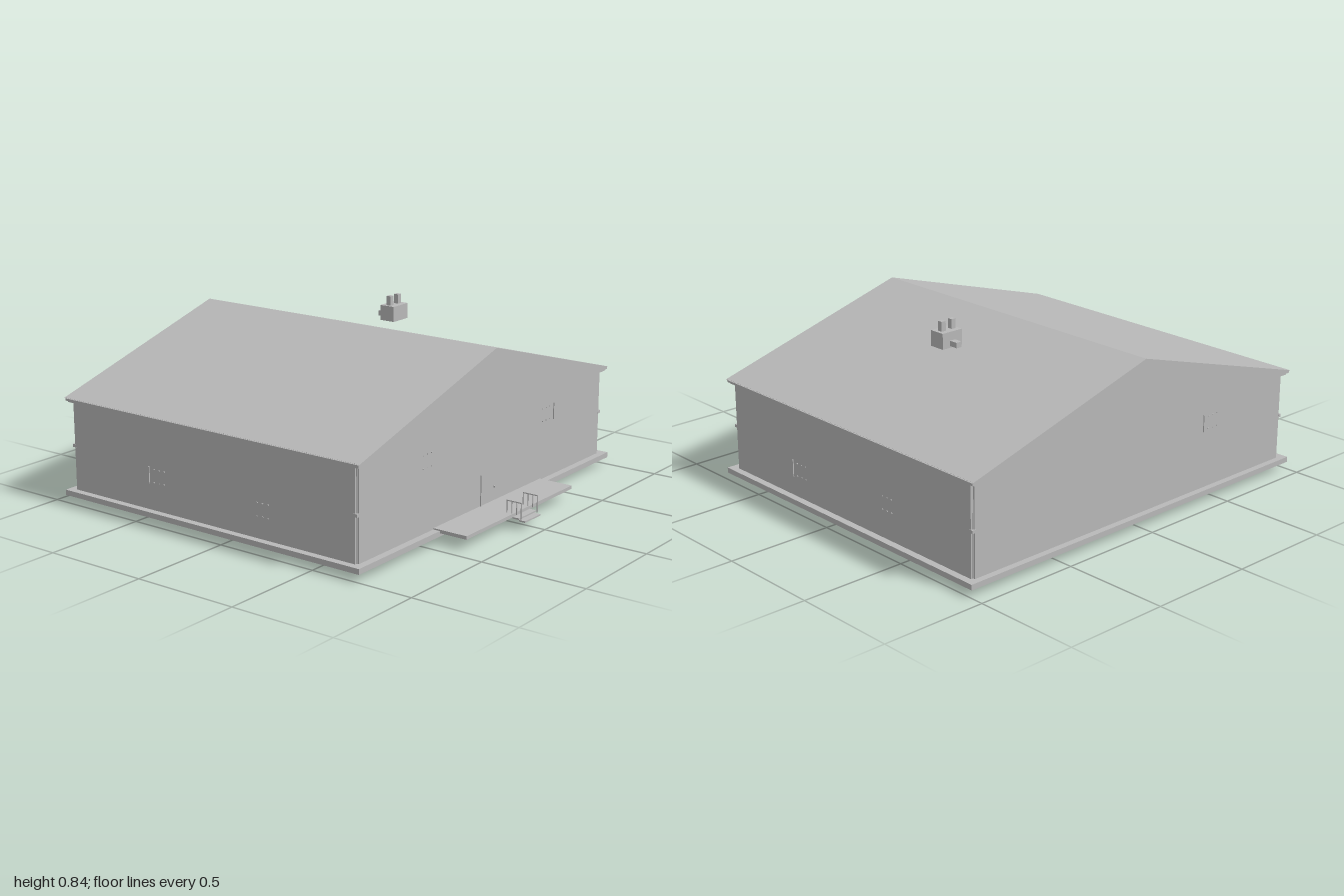
import * as THREE from 'three';

export function createModel() {
  const model = new THREE.Group();
  const grey = new THREE.MeshStandardMaterial({ color: 0xb8b8b8 });
  grey.name = 'plain grey';

  // Box given by its limits on each axis
  function box(name, x0, x1, y0, y1, z0, z1, parent = model) {
    const mesh = new THREE.Mesh(new THREE.BoxGeometry(x1 - x0, y1 - y0, z1 - z0), grey);
    mesh.position.set((x0 + x1) / 2, (y0 + y1) / 2, (z0 + z1) / 2);
    mesh.name = name;
    parent.add(mesh);
    return mesh;
  }

  // Foundation, wall core and outer wall panels that stop short of the corners
  box('foundation', -1, 1, 0.035, 0.06, -0.94, 0.74);
  box('wallCore', -0.958, 0.958, 0.06, 0.475, -0.902, 0.698);
  box('frontWall', -0.955, 0.955, 0.06, 0.475, 0.698, 0.706);
  box('backWall', -0.955, 0.955, 0.06, 0.475, -0.91, -0.902);
  for (const s of [-1, 1]) {
    box('sideWall', Math.min(s * 0.958, s * 0.967), Math.max(s * 0.958, s * 0.967), 0.06, 0.475, -0.9, 0.695);
  }

  // Eaves in two steps
  box('lowerEave', -0.975, 0.975, 0.472, 0.482, -0.925, 0.72);
  box('upperEave', -0.985, 0.985, 0.48, 0.494, -0.932, 0.728);

  // Gable roof
  const gable = new THREE.Shape([
    new THREE.Vector2(-0.99, 0.492),
    new THREE.Vector2(0.99, 0.492),
    new THREE.Vector2(0, 0.778),
  ]);
  const roof = new THREE.Mesh(new THREE.ExtrudeGeometry(gable, { depth: 1.668, bevelEnabled: false }), grey);
  roof.position.z = -0.936;
  roof.name = 'roof';
  model.add(roof);

  // Chimney block with two flues and a rear outlet, held clear of the roof
  const chimney = new THREE.Group();
  chimney.name = 'chimney';
  model.add(chimney);
  box('chimneyBlock', 0.327, 0.44, 0.722, 0.795, -0.14, -0.062, chimney);
  for (const x of [0.353, 0.411]) box('flue', x - 0.012, x + 0.012, 0.795, 0.84, -0.114, -0.09, chimney);
  box('rearOutlet', 0.369, 0.398, 0.73, 0.755, -0.183, -0.14, chimney);

  // Open shaft below the floor
  const shaft = new THREE.Group();
  shaft.name = 'floorShaft';
  model.add(shaft);
  for (const x of [-0.43, -0.346]) box('shaftSide', x, x + 0.006, 0, 0.036, -0.305, -0.22, shaft);
  for (const z of [-0.305, -0.226]) box('shaftEnd', -0.424, -0.346, 0, 0.036, z, z + 0.006, shaft);

  // Front porch and steps
  box('porch', -0.43, 0.43, 0.05, 0.066, 0.7, 0.877);
  box('upperStep', -0.07, 0.07, 0.045, 0.052, 0.875, 0.91);
  box('lowerStep', -0.062, 0.062, 0.035, 0.042, 0.905, 0.937);

  // Stair railings
  for (const x of [-0.066, 0.066]) {
    const railing = new THREE.Group();
    railing.name = 'railing';
    model.add(railing);
    for (const z of [0.845, 0.87, 0.895, 0.918]) {
      box('railPost', x - 0.002, x + 0.002, z > 0.9 ? 0.045 : 0.064, 0.124, z - 0.002, z + 0.002, railing);
    }
    box('handRail', x - 0.002, x + 0.002, 0.12, 0.125, 0.843, 0.92, railing);
  }

  // Wall fittings: one hinge strip and small pegs, made facing +z
  function fittings(name, x, y, z, turn, strip) {
    const group = new THREE.Group();
    group.name = name;
    group.position.set(x, y, z);
    group.rotation.y = turn;
    model.add(group);
    if (strip) box('hingeStrip', strip - 0.002, strip + 0.002, -0.04, 0.04, -0.002, 0.005, group);
    for (const u of [-0.03, 0, 0.03]) {
      for (const v of [-0.03, 0.03]) {
        box('peg', u - 0.003, u + 0.003, v - 0.002, v + 0.002, -0.002, 0.004, group);
      }
    }
  }
  const right = Math.PI / 2;
  fittings('frontWindow', -0.48, 0.38, 0.706, 0, 0);
  fittings('frontWindow', 0.47, 0.37, 0.706, 0, 0.065);
  fittings('backWindow', -0.48, 0.37, -0.91, Math.PI, -0.06);
  for (const s of [-1, 1]) {
    fittings('sideWindow', s * 0.967, 0.19, 0.21, s * right, s > 0 ? -0.06 : 0);
    fittings('sideWindow', s * 0.967, 0.22, -0.38, s * right, s < 0 ? -0.06 : 0);
  }

  // Door edge and knob
  box('doorEdge', -0.07, -0.066, 0.066, 0.21, 0.704, 0.711);
  box('doorKnob', 0.038, 0.046, 0.126, 0.134, 0.704, 0.712);

  // Small brackets at mid height on the corners
  for (const x of [-0.96, 0.96]) {
    for (const z of [-0.903, 0.699]) {
      box('cornerBracket', x - 0.009, x + 0.009, 0.262, 0.276, z - 0.009, z + 0.009);
    }
  }
  return model;
}
